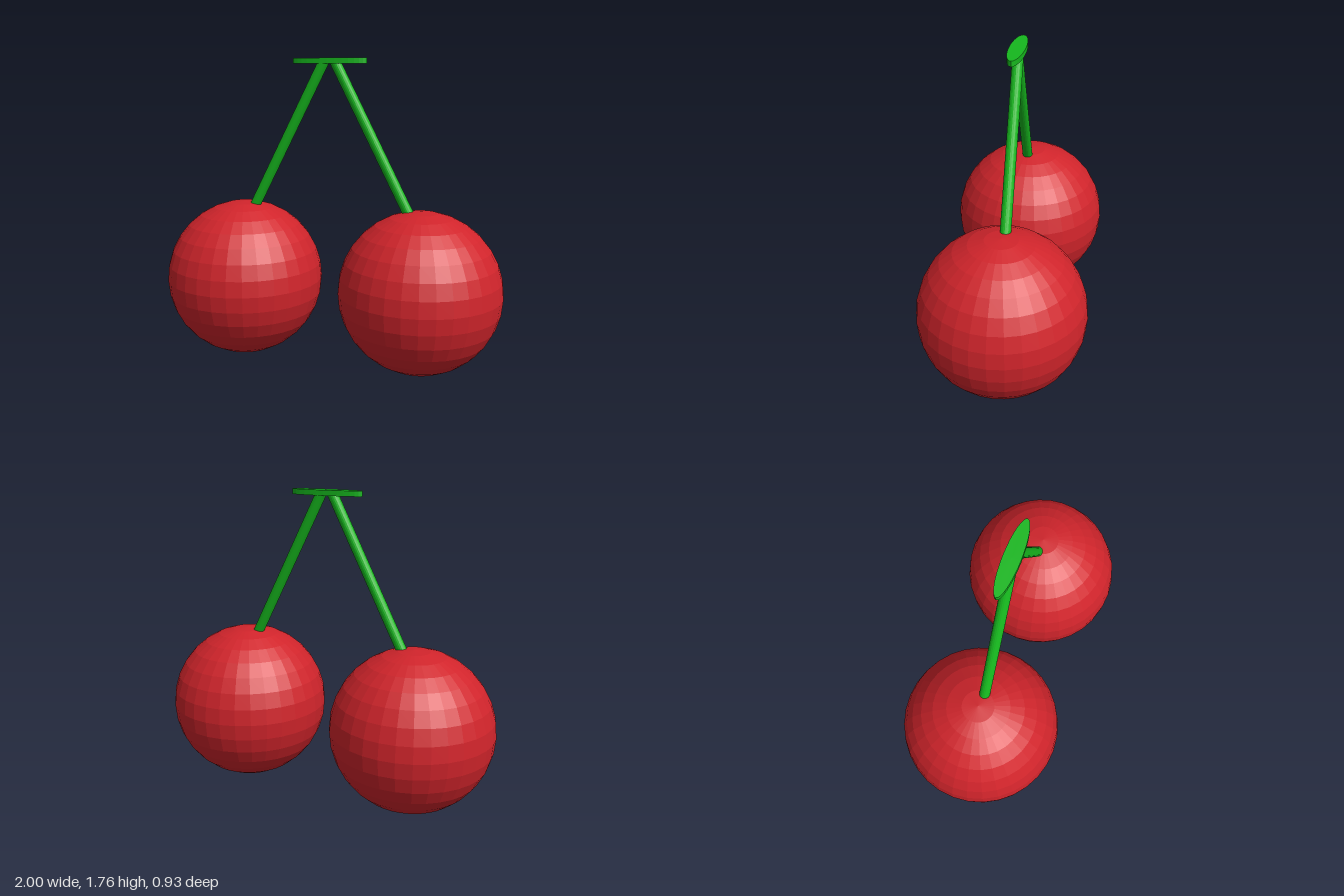
import * as THREE from 'three';

export function createModel() {
  const model = new THREE.Group();
  const red = new THREE.MeshStandardMaterial({ color: 0xd0242b, flatShading: true });
  const green = new THREE.MeshStandardMaterial({ color: 0x16b81e, flatShading: true });

  const add = (name, geometry, material, x, y, z) => {
    const mesh = new THREE.Mesh(geometry, material);
    mesh.name = name;
    mesh.position.set(x, y, z);
    model.add(mesh);
    return mesh;
  };

  for (const [side, s] of [['left', 1], ['right', -1]]) {
    // Round faceted fruit
    add(side + 'Cherry', new THREE.SphereGeometry(0.463, 32, 16), red, s * 0.537, 0.466, 0);

    // Straight stem, its lower end sunk into the fruit, slightly offset in depth
    const top = new THREE.Vector3(s * 0.03, 1.74, s * -0.008);
    const bottom = new THREE.Vector3(s * 0.476, 0.88, s * -0.008);
    const mid = top.clone().add(bottom).multiplyScalar(0.5);
    const stem = add(side + 'Stem', new THREE.CylinderGeometry(0.03, 0.03, top.distanceTo(bottom), 20),
      green, mid.x, mid.y, mid.z);
    stem.quaternion.setFromUnitVectors(new THREE.Vector3(0, 1, 0), top.sub(bottom).normalize());
  }

  // Flat oval leaf joining the stems
  const leaf = add('leaf', new THREE.CylinderGeometry(1, 1, 0.03, 32), green, 0, 1.745, 0);
  leaf.scale.set(0.215, 1, 0.045);

  return model;
}
